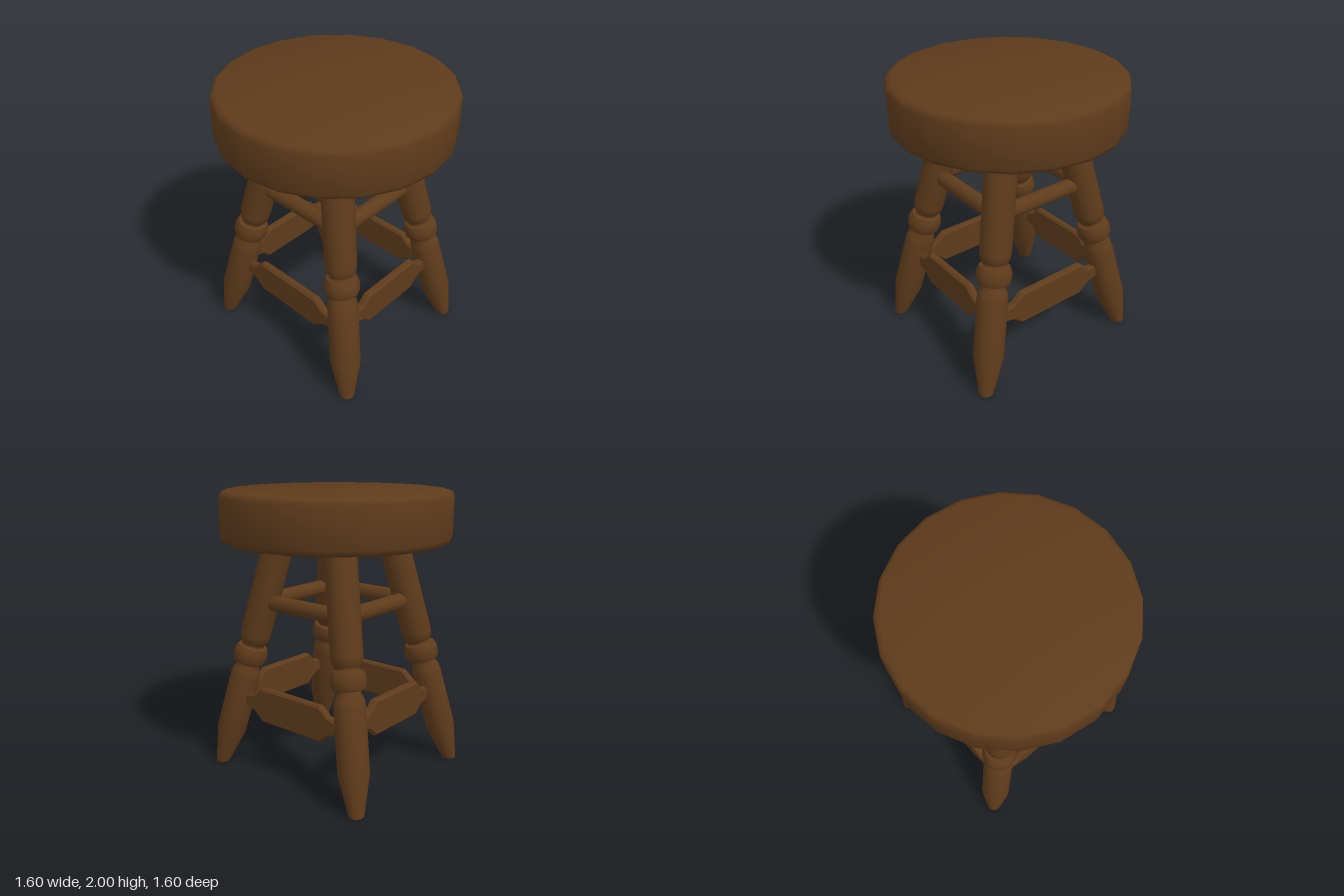
import * as THREE from 'three';
import { toCreasedNormals } from 'three/addons/utils/BufferGeometryUtils.js';

const wood = new THREE.MeshStandardMaterial({ color: 0x5e3b1c });

function part(name, geometry, parent, crease = 0.65) {
  const mesh = new THREE.Mesh(toCreasedNormals(geometry, crease), wood);
  mesh.name = name;
  parent.add(mesh);
  return mesh;
}

const lathe = (profile, sides) =>
  new THREE.LatheGeometry(profile.map(([r, y]) => new THREE.Vector2(r, y)), sides);

// Leg axis on the +x +z side: where it crosses a given height
const legX = (y) => 0.565 - 0.167 * y;
const legZ = (y) => 0.635 - 0.22 * y;

// Turned leg, splayed outwards, with its foot cut level with the floor
function legGeometry(sx, sz) {
  const geometry = lathe([
    [0, -0.015], [0.053, -0.015], [0.106, 0.27], [0.106, 0.70], [0.1, 0.745], [0.08, 0.785], [0.08, 0.8],
    [0.105, 0.805], [0.12, 0.835], [0.12, 0.895], [0.105, 0.93], [0.08, 0.937],
    [0.08, 0.95], [0.1, 0.975], [0.108, 1.02], [0.108, 1.76], [0, 1.76],
  ], 18);
  const axis = new THREE.Vector3(-sx * 0.167, 1, -sz * 0.22).normalize();
  geometry.applyQuaternion(new THREE.Quaternion().setFromUnitVectors(new THREE.Vector3(0, 1, 0), axis));
  geometry.translate(sx * legX(0), 0, sz * legZ(0));
  const p = geometry.attributes.position;
  for (let i = 0; i < p.count; i++) if (p.getY(i) < 0.012) p.setY(i, 0);
  return geometry;
}

// Flat stretcher board with stepped, narrowing ends and chamfered edges
function boardGeometry(flat, shoulder, end) {
  const bevel = 0.014, thickness = 0.06;
  const corner = [[end, 0.025], [shoulder, 0.055], [flat, 0.113]];
  const upper = [...corner, ...corner.map(([x, y]) => [-x, y]).reverse()];
  const lower = upper.map(([x, y]) => [x, -y]).reverse();
  const shape = new THREE.Shape([...upper, ...lower].map(([x, y]) => new THREE.Vector2(x, y)));
  const geometry = new THREE.ExtrudeGeometry(shape, {
    depth: thickness - 2 * bevel, bevelThickness: bevel, bevelSize: bevel, bevelSegments: 1,
  });
  return geometry.translate(0, 0, bevel - thickness / 2);
}

export function createModel() {
  const stool = new THREE.Group();
  stool.name = 'stool';

  // Round seat with softened rims
  part('seat', lathe([
    [0, 1.655], [0.76, 1.655], [0.788, 1.667], [0.8, 1.695],
    [0.8, 1.96], [0.788, 1.988], [0.76, 2], [0, 2],
  ], 20), stool, 0.85);

  // Four legs
  for (const sx of [1, -1]) {
    for (const sz of [1, -1]) {
      part(`${sz > 0 ? 'front' : 'back'}${sx > 0 ? 'Left' : 'Right'}Leg`, legGeometry(sx, sz), stool);
    }
  }

  // Round upper rungs and lower boards, one of each on every side
  const rungY = 1.225, frontBoardY = 0.54, sideBoardY = 0.508;
  for (const s of [1, -1]) {
    const alongX = s > 0 ? 'front' : 'back';
    const alongZ = s > 0 ? 'left' : 'right';

    const rungX = new THREE.CylinderGeometry(0.056, 0.056, 2 * legX(rungY), 14).rotateZ(Math.PI / 2);
    part(`${alongX}Rung`, rungX, stool).position.set(0, rungY, s * legZ(rungY));

    const rungZ = new THREE.CylinderGeometry(0.056, 0.056, 2 * legZ(rungY), 14).rotateX(Math.PI / 2);
    part(`${alongZ}Rung`, rungZ, stool).position.set(s * legX(rungY), rungY, 0);

    const boardX = boardGeometry(0.235, 0.295, 0.4);
    part(`${alongX}Board`, boardX, stool, 0.3).position.set(0, frontBoardY, s * legZ(frontBoardY));

    const boardZ = boardGeometry(0.265, 0.335, 0.45).rotateY(Math.PI / 2);
    part(`${alongZ}Board`, boardZ, stool, 0.3).position.set(s * legX(sideBoardY), sideBoardY, 0);
  }
  return stool;
}
